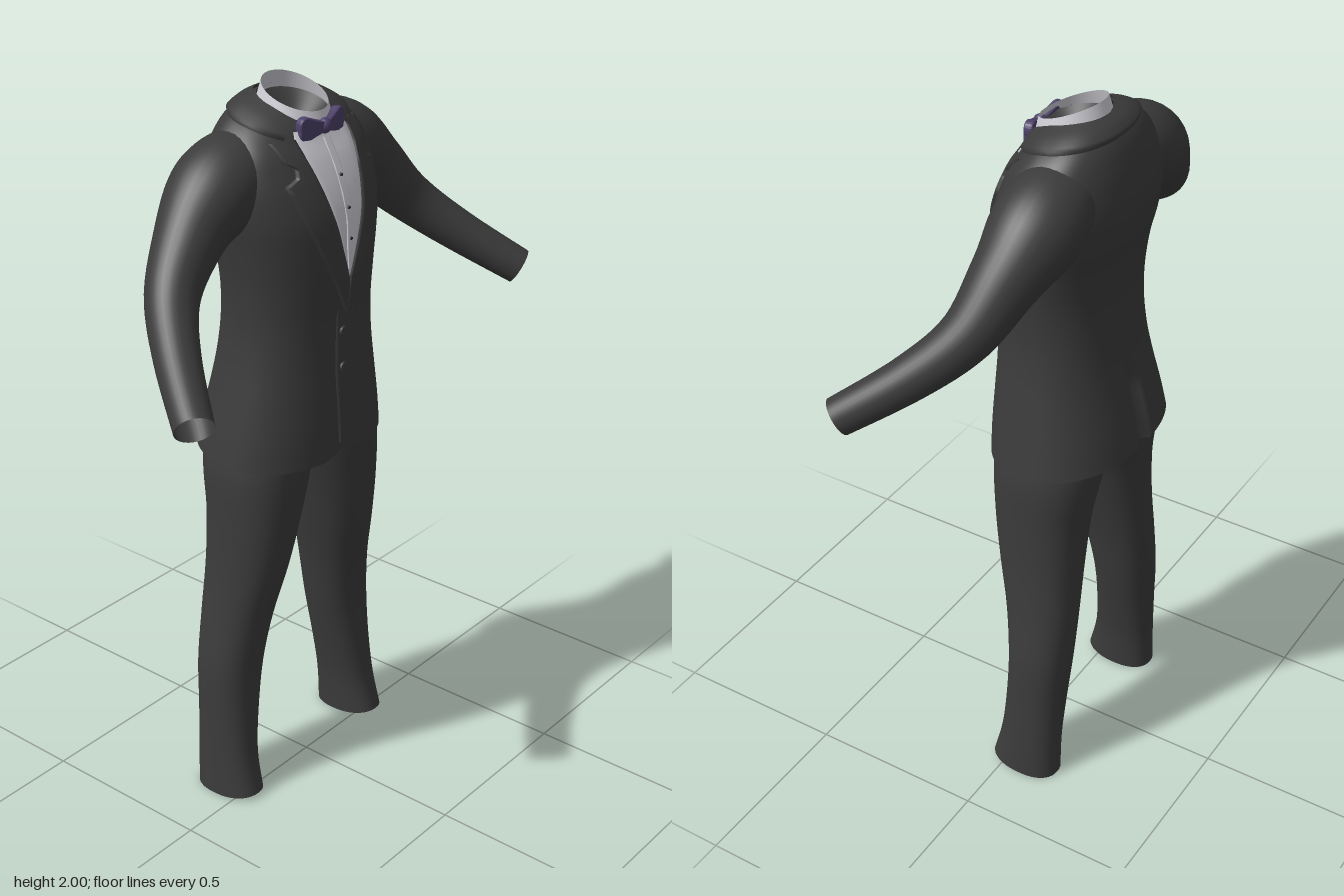
import * as THREE from 'three';

const mat = (name, color) => {
  const m = new THREE.MeshStandardMaterial({ color, side: THREE.DoubleSide });
  m.name = name;
  return m;
};

// Smooth interpolation through rows of numbers, t from 0 to 1
function spline(rows, t) {
  const f = Math.min(Math.max(t, 0), 1) * (rows.length - 1);
  const i = Math.min(Math.floor(f), rows.length - 2), k = f - i;
  const at = (j) => rows[Math.min(Math.max(j, 0), rows.length - 1)];
  const [a, b, c, d] = [at(i - 1), at(i), at(i + 1), at(i + 2)];
  return b.map((_, n) => b[n] + 0.5 * k * (c[n] - a[n] + k * (2 * a[n] - 5 * b[n] + 4 * c[n] - d[n]
    + k * (3 * (b[n] - c[n]) + d[n] - a[n]))));
}

// Grid surface from fn(u, v); closed joins the last column to the first
function surface(fn, nu, nv, closed) {
  const cols = closed ? nu : nu + 1, pos = [], idx = [];
  for (let j = 0; j <= nv; j++)
    for (let i = 0; i < cols; i++) pos.push(...fn(i / nu, j / nv).toArray());
  for (let j = 0; j < nv; j++)
    for (let i = 0; i < nu; i++) {
      const a = j * cols + i, b = j * cols + (i + 1) % cols;
      idx.push(a, b, a + cols, b, b + cols, a + cols);
    }
  const g = new THREE.BufferGeometry();
  g.setAttribute('position', new THREE.Float32BufferAttribute(pos, 3));
  g.setIndex(idx);
  g.computeVertexNormals();
  return g;
}

// Horizontal rounded section; row = [y, centreX, halfWidth, zFront, zBack, frontDrop]
const round = (s) => Math.sign(s) * Math.abs(s) ** 0.87;
function ring(rows, th, v) {
  const [y, xc, hw, zf, zb, drop] = spline(rows, v);
  const c = Math.cos(th);
  return new THREE.Vector3(xc + hw * round(Math.sin(th)),
    y - drop * ((1 + c) / 2) ** 2, (zf + zb) / 2 + (zf - zb) / 2 * round(c));
}

const TORSO = [
  [1.015, 0, .277, .14, -.26, 0], [1.1, 0, .262, .14, -.247, 0], [1.2, 0, .243, .135, -.227, 0],
  [1.3, 0, .225, .13, -.208, 0], [1.4, 0, .215, .13, -.198, 0], [1.5, 0, .219, .135, -.197, 0],
  [1.6, 0, .234, .137, -.207, 0], [1.68, 0, .248, .133, -.224, 0], [1.76, 0, .253, .113, -.229, .005],
  [1.83, 0, .24, .09, -.218, .02], [1.88, 0, .217, .075, -.203, .04], [1.92, 0, .182, .062, -.185, .06],
  [1.95, 0, .135, .053, -.16, .07], [1.965, 0, .09, .045, -.13, .07],
];
const TAU = Math.PI * 2;

// Height z of the jacket front at (x, y)
function frontZ(x, y) {
  let th = 0, v = 0;
  for (let k = 0; k < 12; k++) {
    let lo = 0, hi = 1;
    for (let n = 0; n < 22; n++) {
      v = (lo + hi) / 2;
      if (ring(TORSO, th, v).y < y) lo = v; else hi = v;
    }
    const s = Math.min(1, Math.abs(x) / spline(TORSO, v)[2]) ** (1 / 0.87);
    th = (th + Math.sign(x) * Math.asin(s)) / 2;
  }
  return ring(TORSO, th, v).z;
}

// Thin cloth panel lying on the jacket front; rows = [y, xLeft, xRight] going up
function panel(rows, off, side = 1) {
  const n = 10;
  return surface((u, v) => {
    const f = v * (rows.length - 1), i = Math.min(Math.floor(f), rows.length - 2);
    const [y, a, b] = rows[i].map((p, k) => p + (rows[i + 1][k] - p) * (f - i));
    const [l, r] = side > 0 ? [a, b] : [-b, -a];
    const edge = u < 0.01 || u > 0.99;
    const w = Math.min(Math.max((u * n - 1) / (n - 2), 0), 1);
    const x = l + (r - l) * w;
    return new THREE.Vector3(x, y, frontZ(x, y) + (edge ? -.002 : off));
  }, n, (rows.length - 1) * 4, false);
}

// Round sleeve along a path of [x, y, z, radius]
function sleeve(rows, side) {
  const at = (v) => {
    const [x, y, z, r] = spline(rows, v);
    return { p: new THREE.Vector3(x * side, y, z), r };
  };
  return surface((u, v) => {
    const { p, r } = at(v);
    const t = at(Math.min(v + .01, 1)).p.sub(at(Math.max(v - .01, 0)).p).normalize();
    const a = new THREE.Vector3(0, 0, 1).addScaledVector(t, -t.z).normalize();
    const b = t.clone().cross(a);
    return p.addScaledVector(a, r * Math.cos(u * TAU)).addScaledVector(b, r * Math.sin(u * TAU));
  }, 32, 36, true);
}

export function createModel() {
  const model = new THREE.Group();
  const suit = mat('charcoal suit', 0x3b3b3b);
  const white = mat('white shirt', 0xcdcdd4);
  const purple = mat('purple silk', 0x4c4068);
  const dark = mat('dark stud', 0x2a2a2c);
  const add = (name, geo, material, parent = model) => {
    const m = new THREE.Mesh(geo, material);
    m.name = name;
    parent.add(m);
    return m;
  };

  // Jacket body with a cut-away front hem, raised back hem and a back vent
  add('jacketBody', surface((u, v) => {
    const p = ring(TORSO, u * TAU, v);
    const k = Math.max(0, 1 - (p.y - 1.015) / .2);
    if (p.z > 0) p.y += k * .03 * Math.max(0, 1 - Math.abs(p.x) / .08);
    else p.y += k * .03 * Math.max(0, -p.z / .26);
    if (Math.abs(u - .5) < .004 && p.y < 1.27) p.z += .035 * Math.min(1, (1.27 - p.y) / .06);
    return p;
  }, 96, 64, true), suit);

  // Jacket collar folded around the neck
  add('jacketCollar', surface((u, v) => {
    const th = .75 + u * (TAU - 1.5);
    const p = ring(TORSO, th, .86 + .14 * v);
    const lift = v < .01 ? -.002 : .008;
    return p.add(new THREE.Vector3(Math.sin(th) * lift, lift * .7, Math.cos(th) * lift));
  }, 48, 10, false), suit);

  // Overlapping front edge below the lapels
  add('frontEdge', panel([[1.06, -.035, .02], [1.25, -.04, .03], [1.43, -.035, .03]], .004), suit);

  // Shirt front
  add('shirtFront', panel([[1.515, -.002, .002], [1.6, -.028, .028], [1.7, -.058, .058],
    [1.8, -.085, .085], [1.87, -.1, .1], [1.895, -.09, .09]], .005), white);
  add('shirtPlacket', panel([[1.54, -.006, .006], [1.6, -.012, .012], [1.87, -.012, .012]], .008), white);

  // Shirt collar band, higher at the back, and the lining inside the neck
  const neck = (th, r, back, front) => new THREE.Vector3(r * Math.sin(th),
    back + (front - back) * (1 + Math.cos(th)) / 2, -.038 + r * Math.cos(th));
  add('shirtCollar', surface((u, v) => neck(u * TAU, .1 - .016 * v, 1.945 + .055 * v, 1.875 + .057 * v),
    48, 4, true), white);
  add('neckLining', surface((u, v) => neck(u * TAU, .088 * (1 - v), 1.955 - .1 * v, 1.91 - .055 * v),
    48, 4, true), suit);

  for (const side of [1, -1]) {
    const which = side > 0 ? 'left' : 'right';

    // Notched lapel
    add(which + 'Lapel', panel([[1.42, -.005, .005], [1.515, .002, .052], [1.6, .03, .098],
      [1.7, .06, .145], [1.78, .08, .17], [1.797, .084, .135], [1.82, .09, .13], [1.835, .094, .155],
      [1.88, .1, .165]], .009, side), suit);

    // Arm
    add(which + 'Sleeve', sleeve([[.08, 1.81, -.085, .09], [.19, 1.785, -.088, .113],
      [.27, 1.745, -.085, .114], [.36, 1.677, -.07, .09], [.47, 1.565, -.03, .069],
      [.565, 1.465, .07, .058], [.668, 1.36, .215, .05]], side), suit);

    // Trouser leg
    const leg = [
      [0, .27, .065, .047, -.155, -.015], [.12, .264, .065, .022, -.155, 0], [.25, .25, .073, .01, -.16, 0],
      [.4, .232, .085, .008, -.168, 0], [.55, .208, .088, .028, -.172, 0], [.7, .183, .098, .06, -.172, 0],
      [.85, .162, .113, .082, -.178, 0], [1, .14, .13, .093, -.198, 0], [1.15, .117, .117, .09, -.19, 0],
    ].map((r) => [r[0], r[1] * side, ...r.slice(2)]);
    add(which + 'TrouserLeg', surface((u, v) => ring(leg, u * TAU, v), 40, 40, true), suit);
  }

  // Trouser seat hidden by the jacket
  const seat = [[1.04, 0, .1, .05, -.15, 0], [1.09, 0, .21, .085, -.2, 0], [1.2, 0, .2, .08, -.17, 0]];
  add('trouserSeat', surface((u, v) => ring(seat, u * TAU, v), 40, 8, true), suit);

  // Jacket buttons and shirt studs
  const disc = (name, x, y, r, off, m) => {
    const g = new THREE.CylinderGeometry(r, r, .008, 16).rotateX(Math.PI / 2);
    add(name, g, m).position.set(x, y, frontZ(x, y) + off);
  };
  [1.37, 1.27].forEach((y) => disc('jacketButton', -.015, y, .013, .006, suit));
  [1.62, 1.7, 1.78].forEach((y) => disc('shirtStud', 0, y, .004, .007, dark));

  // Bow tie
  const bow = new THREE.Group();
  bow.name = 'bowTie';
  bow.position.set(0, 1.895, .058);
  model.add(bow);
  const wing = new THREE.Shape();
  wing.moveTo(.008, -.01);
  wing.quadraticCurveTo(.04, -.018, .06, -.027);
  wing.quadraticCurveTo(.085, -.028, .08, 0);
  wing.quadraticCurveTo(.085, .032, .06, .029);
  wing.quadraticCurveTo(.04, .02, .008, .01);
  const wingGeo = new THREE.ExtrudeGeometry(wing,
    { depth: .012, bevelEnabled: true, bevelThickness: .006, bevelSize: .004, bevelSegments: 3, curveSegments: 8 });
  wingGeo.translate(0, 0, -.006);
  add('bowWing', wingGeo, purple).rotation.y = .2;
  const other = add('bowWing', wingGeo, purple);
  other.rotation.y = Math.PI - .2;
  const knot = add('bowKnot', new THREE.SphereGeometry(1, 20, 14), purple, bow);
  knot.scale.set(.018, .02, .018);
  bow.add(...model.children.filter((c) => c.name === 'bowWing'));

  return model;
}
